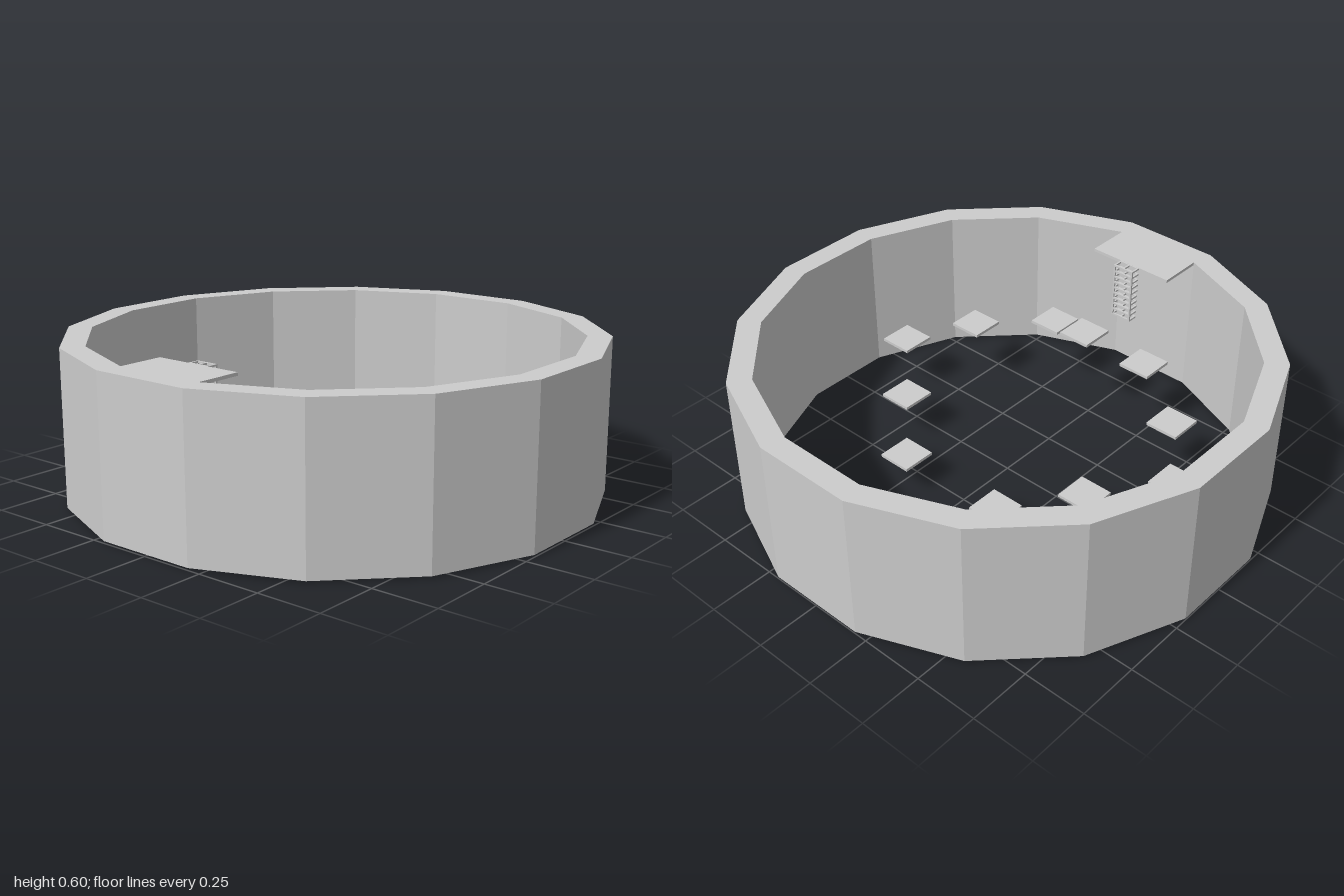
import * as THREE from 'three';

export function createModel() {
  const model = new THREE.Group();
  model.name = 'arena';
  const stone = new THREE.MeshStandardMaterial({ color: 0xcccccc, flatShading: true });
  stone.name = 'light grey';

  // Box given by its centre and the height of its top face
  function slab(name, w, h, d, x, top, z, parent = model) {
    const mesh = new THREE.Mesh(new THREE.BoxGeometry(w, h, d), stone);
    mesh.name = name;
    mesh.position.set(x, top - h / 2, z);
    parent.add(mesh);
    return mesh;
  }

  // Sixteen-sided ring wall, flat sides facing the axes
  const SIDES = 16, BASE = 0.008, TOP = 0.6;
  const toCorner = 1 / Math.cos(Math.PI / SIDES);
  const outer = 1 * toCorner, inner = 0.91 * toCorner;
  const profile = [[inner, BASE], [outer, BASE], [outer, TOP], [inner, TOP], [inner, BASE]]
    .map(([r, y]) => new THREE.Vector2(r, y));
  const wall = new THREE.Mesh(
    new THREE.LatheGeometry(profile, SIDES, Math.PI / SIDES), stone);
  wall.name = 'ringWall';
  model.add(wall);

  // High ledge level with the rim, and low ledge on the opposite side
  slab('highLedge', 0.18, 0.012, 0.362, -0.82, TOP, 0);
  slab('lowLedge', 0.18, 0.02, 0.362, 0.82, 0.02, 0);

  // Plain plaque on the wall above the low ledge
  slab('wallPlaque', 0.006, 0.04, 0.26, 0.907, 0.18, 0);

  // Floating stepping tiles: one high tile, then mirrored pairs going down
  const TILE = 0.135, THICK = 0.012;
  const tile = (x, top, z) => slab('steppingTile', TILE, THICK, TILE, x, top, z);
  tile(-0.457, 0.415, 0.003);
  const pairs = [[-0.547, 0.228], [-0.365, 0.502], [-0.14, 0.683], [0.09, 0.455], [0.32, 0.228]];
  pairs.forEach(([x, z], i) => {
    const top = 0.326 - i * 0.045;
    tile(x, top, z);
    tile(x, top, -z);
  });
  tile(0.547, 0.102, 0.003);

  // Ladder hanging from the high ledge: stacked double frames on thin posts
  const ladder = new THREE.Group();
  ladder.name = 'ladder';
  model.add(ladder);
  const BAR = 0.007, LEVELS = 10;
  for (let i = 0; i < LEVELS; i++) {
    const y = TOP - i * 0.025;
    for (const x of [-0.726, -0.688]) slab('ladderRung', BAR, BAR, 0.09, x, y, 0, ladder);
    for (const z of [-0.042, 0, 0.042]) slab('ladderTie', 0.038, BAR, BAR, -0.707, y, z, ladder);
  }
  for (const z of [-0.042, 0.042]) slab('ladderPost', BAR, 0.232, BAR, -0.688, TOP, z, ladder);

  return model;
}
